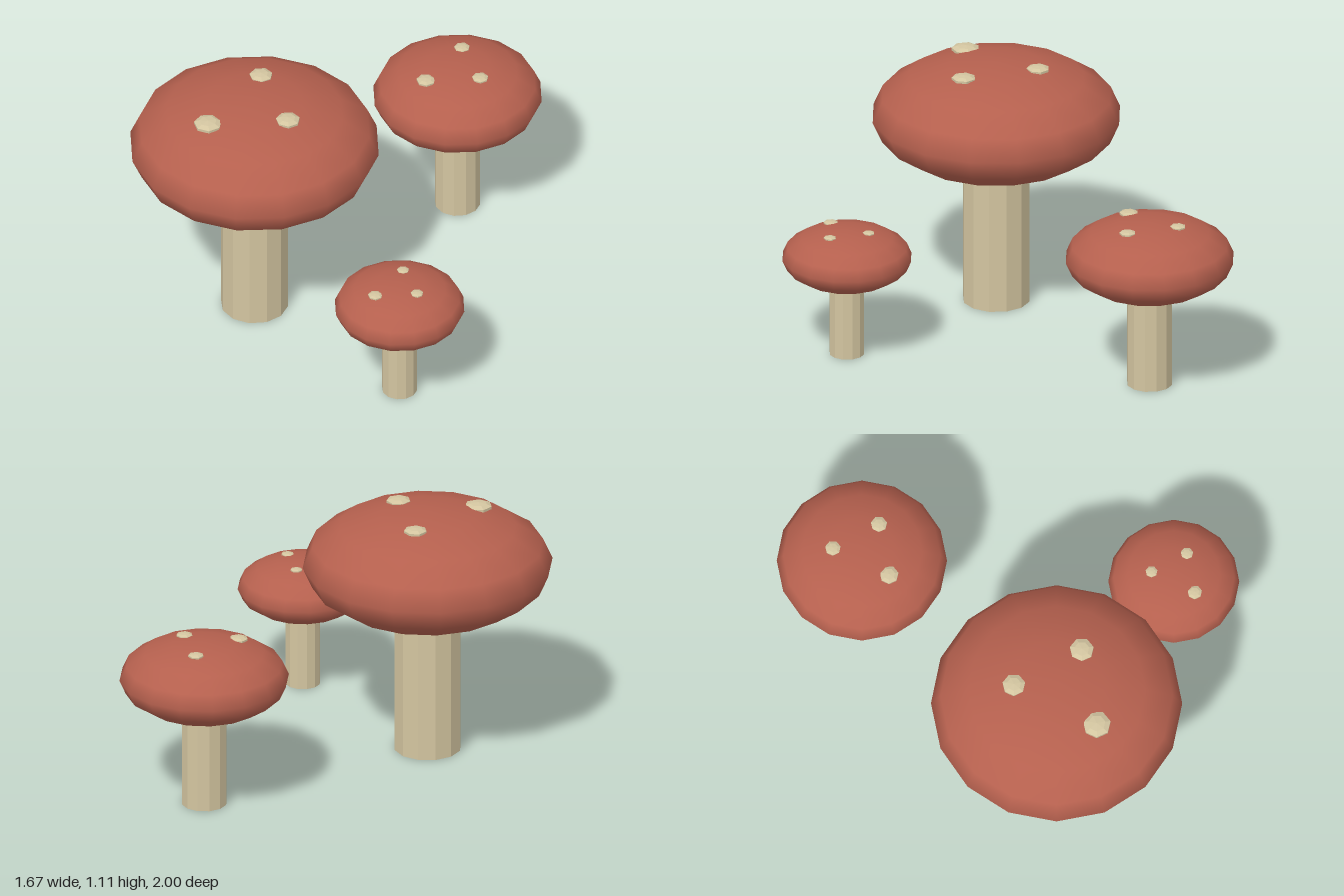
import * as THREE from 'three';

const capMaterial = new THREE.MeshStandardMaterial({ color: 0xb5604e });
capMaterial.name = 'brick red';
const creamMaterial = new THREE.MeshStandardMaterial({ color: 0xd3c5a0 });
creamMaterial.name = 'cream';

// Cap height over cap width, and stem radius over cap radius
const FLATTEN = 0.45;
const STEM = 0.27;

// Spots in units of the cap radius: x, z, radius
const SPOTS = [
  [-0.325, 0.32, 0.118],
  [0.3, 0.2, 0.102],
  [0, -0.34, 0.097],
];

function part(name, geometry, material) {
  const mesh = new THREE.Mesh(geometry, material);
  mesh.name = name;
  return mesh;
}

function faceted(geometry) {
  const flat = geometry.toNonIndexed();
  flat.computeVertexNormals();
  return flat;
}

function mushroom(name, x, z, radius, capY) {
  const group = new THREE.Group();
  group.name = name;
  group.position.set(x, 0, z);

  // Twelve-sided stem, ending just inside the cap
  const stemHeight = capY - radius * FLATTEN * 0.85;
  const stem = new THREE.CylinderGeometry(radius * STEM, radius * STEM, stemHeight, 12);
  stem.translate(0, stemHeight / 2, 0);
  group.add(part('stem', faceted(stem), creamMaterial));

  // Smooth flattened cap
  const cap = new THREE.SphereGeometry(radius, 16, 8);
  cap.scale(1, FLATTEN, 1);
  cap.translate(0, capY, 0);
  group.add(part('cap', cap, capMaterial));

  // Flat faceted spots resting on the cap
  for (const [sx, sz, sr] of SPOTS) {
    const spot = new THREE.SphereGeometry(sr * radius, 7, 5);
    spot.scale(1, 0.3, 1);
    const rise = FLATTEN * Math.sqrt(1 - sx * sx - sz * sz);
    spot.translate(sx * radius, capY + rise * radius, sz * radius);
    group.add(part('spot', faceted(spot), creamMaterial));
  }
  return group;
}

export function createModel() {
  const model = new THREE.Group();
  model.name = 'mushroomCluster';
  model.add(
    mushroom('largeMushroom', -0.293, 0.21, 0.543, 0.868),
    mushroom('mediumMushroom', 0.464, -0.632, 0.368, 0.59),
    mushroom('smallMushroom', 0.42, 0.716, 0.283, 0.452),
  );
  return model;
}
